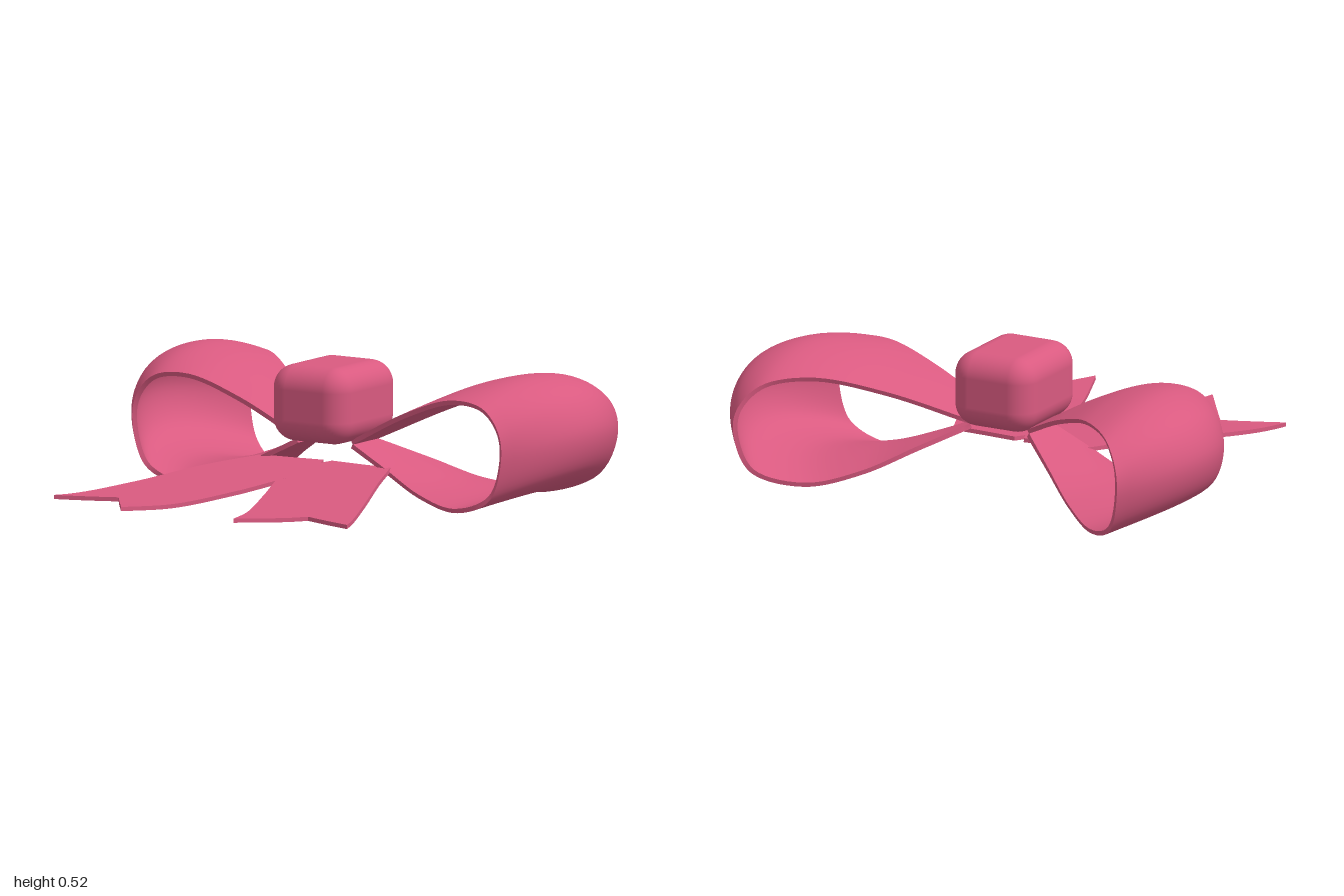
import * as THREE from 'three';
import { RoundedBoxGeometry } from 'three/addons/geometries/RoundedBoxGeometry.js';
import { toCreasedNormals } from 'three/addons/utils/BufferGeometryUtils.js';

const { lerp } = THREE.MathUtils;

// Closed ribbon of given thickness under the surface point(u, v); u x v faces out
function sheet(point, nu, nv, thickness) {
  const pos = [], index = [], e = 1e-3;
  const at = (u, v) => point(THREE.MathUtils.clamp(u, 0, 1), THREE.MathUtils.clamp(v, 0, 1));
  const row = nu + 1, layer = row * (nv + 1);
  for (const depth of [0, thickness]) {
    for (let j = 0; j <= nv; j++) {
      for (let i = 0; i <= nu; i++) {
        const u = i / nu, v = j / nv;
        const du = at(u + e, v).sub(at(u - e, v));
        const dv = at(u, v + e).sub(at(u, v - e));
        const p = at(u, v).addScaledVector(du.cross(dv).normalize(), -depth);
        pos.push(p.x, p.y, p.z);
      }
    }
  }
  const quad = (a, b, c, d) => index.push(a, b, c, a, c, d);
  for (let j = 0; j < nv; j++) {
    for (let i = 0; i < nu; i++) {
      const a = j * row + i, b = a + 1, c = b + row, d = a + row;
      quad(a, b, c, d);
      quad(a + layer, d + layer, c + layer, b + layer);
    }
  }
  // rims
  const rim = (a, b) => quad(b, a, a + layer, b + layer);
  for (let i = 0; i < nu; i++) {
    rim(i, i + 1);
    rim(nv * row + i + 1, nv * row + i);
  }
  for (let j = 0; j < nv; j++) {
    rim((j + 1) * row, j * row);
    rim(j * row + nu, (j + 1) * row + nu);
  }
  const g = new THREE.BufferGeometry();
  g.setAttribute('position', new THREE.Float32BufferAttribute(pos, 3));
  g.setIndex(index);
  return toCreasedNormals(g, 0.7);
}

// Mirror a surface rule in x while keeping its facing
const mirrored = (point, side) => (u, v) => {
  const p = point(side > 0 ? u : 1 - u, v);
  p.x *= side;
  return p;
};

const curve = (pts) => new THREE.CatmullRomCurve3(pts.map(([x, y, z = 0]) => new THREE.Vector3(x, y, z)));

// Loop profiles: along the ribbon's edges and along its bulging middle
const edgeProfile = curve([[0.12, 0.24], [0.38, 0.37], [0.6, 0.44], [0.75, 0.42], [0.825, 0.33],
  [0.835, 0.22], [0.78, 0.07], [0.62, 0.008], [0.45, 0.045], [0.28, 0.13], [0.12, 0.21]]);
const midProfile = curve([[0.12, 0.24], [0.38, 0.385], [0.6, 0.48], [0.78, 0.503], [0.935, 0.435],
  [1.0, 0.3], [0.95, 0.15], [0.77, 0.06], [0.52, 0.075], [0.3, 0.14], [0.12, 0.21]]);

function loopPoint(u, v) {
  const edge = edgeProfile.getPoint(v), mid = midProfile.getPoint(v);
  const s = 2 * u - 1;
  const p = edge.clone().lerp(mid, 1 - s * s);
  // the ribbon fans out in depth away from the knot
  const front = -0.14 + (edge.x - 0.16) * 0.075;
  const back = -0.35 - (edge.x - 0.16) * 0.806;
  p.z = lerp(back, front, u);
  return p;
}

// Tail: inner edge, centre line to the notch, and outer edge
const innerEdge = [[0.02, -0.165], [-0.045, -0.01], [-0.06, 0.05], [0, 0.2], [0.255, 0.88]];
const innerStops = [0, 0.125, 0.1875, 0.3125, 1];
function innerAt(v) {
  let k = 0;
  while (k < 3 && v > innerStops[k + 1]) k++;
  const t = (v - innerStops[k]) / (innerStops[k + 1] - innerStops[k]);
  return [0, 1].map((i) => lerp(innerEdge[k][i], innerEdge[k + 1][i], t));
}
const tailHeight = curve([[-0.17, 0.151], [0.1, 0.132], [0.4, 0.098], [0.62, 0.076], [0.9, 0.088]]);

function tailPoint(u, v) {
  const inner = innerAt(v);
  const mid = [lerp(0.16, 0.43, v), lerp(-0.155, 0.63, v)];
  const outer = [lerp(0.295, 0.665, v), lerp(-0.15, 0.72, v)];
  const [a, b, t] = u < 0.5 ? [outer, mid, u * 2] : [mid, inner, u * 2 - 1];
  const x = lerp(a[0], b[0], t), z = lerp(a[1], b[1], t);
  const y = tailHeight.getPoint(THREE.MathUtils.clamp((z + 0.17) / 1.07, 0, 1)).y;
  return new THREE.Vector3(x, y, z);
}

export function createModel() {
  const group = new THREE.Group();
  const pink = new THREE.MeshStandardMaterial({ color: 0xd95a80 });
  pink.name = 'ribbon pink';

  const add = (name, geometry) => {
    const mesh = new THREE.Mesh(geometry, pink);
    mesh.name = name;
    group.add(mesh);
    return mesh;
  };

  // Centre knot
  add('knot', new RoundedBoxGeometry(0.35, 0.295, 0.42, 6, 0.09)).position.set(0, 0.378, -0.205);

  // Paired loops and tails
  for (const [side, label] of [[1, 'left'], [-1, 'right']]) {
    add(label + 'Loop', sheet(mirrored(loopPoint, side), 20, 72, 0.018));
    add(label + 'Tail', sheet(mirrored(tailPoint, side), 8, 32, 0.016));
  }
  return group;
}
